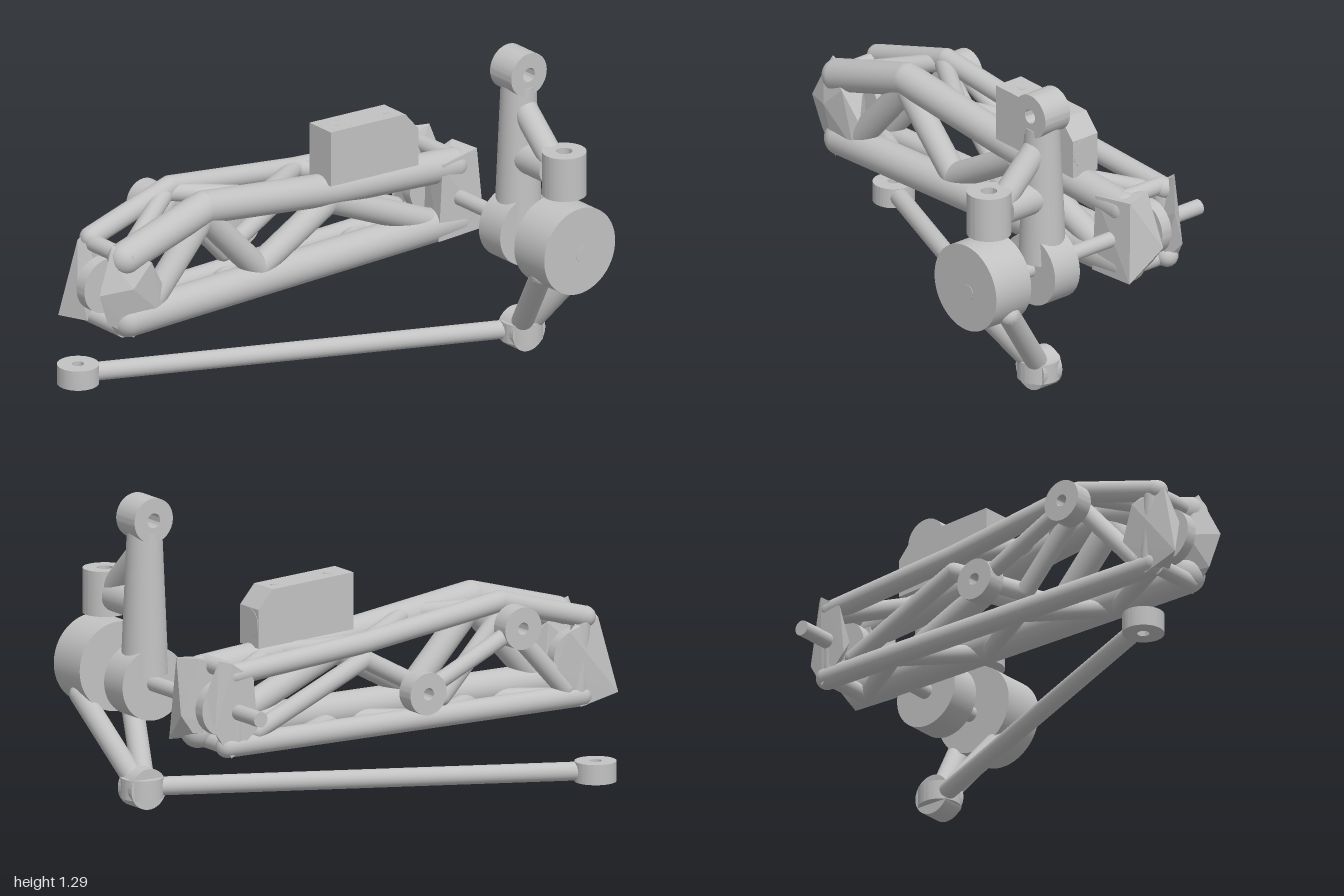
import * as THREE from 'three';
import { toCreasedNormals } from 'three/addons/utils/BufferGeometryUtils.js';
import { ConvexGeometry } from 'three/addons/geometries/ConvexGeometry.js';

const steel = new THREE.MeshStandardMaterial({ color: 0xc2c2c2 });
steel.name = 'light grey steel';

const V = (x, y, z) => new THREE.Vector3(x, y, z);
const UP = V(0, 1, 0);
const AX = 0.829; // x of the axle line

function add(parent, name, geometry) {
  const mesh = new THREE.Mesh(geometry, steel);
  mesh.name = name;
  parent.add(mesh);
  return mesh;
}

// round bar between two points, optionally tapered
function bar(parent, name, a, b, r, rEnd = r) {
  const mesh = add(parent, name, new THREE.CylinderGeometry(rEnd, r, a.distanceTo(b), 28));
  mesh.position.copy(a).lerp(b, 0.5);
  mesh.quaternion.setFromUnitVectors(UP, b.clone().sub(a).normalize());
}

// chain of bars with rounded joints
function chain(parent, name, points, r) {
  points.forEach((p, i) => {
    if (i) bar(parent, name, points[i - 1], p, r);
    add(parent, name + 'Joint', new THREE.SphereGeometry(r, 24, 14)).position.copy(p);
  });
}

// disc or ring with a bore; axis is z, or y when upright
function eye(parent, name, center, r, hole, depth, upright = false) {
  const shape = new THREE.Shape().absarc(0, 0, r, 0, Math.PI * 2);
  if (hole) shape.holes.push(new THREE.Path().absarc(0, 0, hole, 0, Math.PI * 2, true));
  const g = new THREE.ExtrudeGeometry(shape, { depth, bevelEnabled: false, curveSegments: 40 });
  g.translate(0, 0, -depth / 2);
  if (upright) g.rotateX(-Math.PI / 2);
  add(parent, name, toCreasedNormals(g, 0.6)).position.copy(center);
}

// faceted solid from corner points
function facets(parent, name, points) {
  add(parent, name, new ConvexGeometry(points.map((p) => V(...p))));
}

function truss() {
  const g = new THREE.Group();
  g.name = 'trussArm';
  const zf = -0.215, zr = -0.43;

  // front and rear chords with zigzag webs: z, lower y, chord radii, web and post radii
  for (const [side, z, lo, rc, rt, rw, rp] of [
    ['front', zf, 0.41, 0.072, 0.068, 0.054, 0.05], ['rear', zr, 0.383, 0.046, 0.044, 0.038, 0.04]]) {
    const lift = 0.068 - rt;
    chain(g, side + 'LowerChord', [V(-0.84, lo, z), V(0.86, lo, z)], rc);
    chain(g, side + 'UpperChord', [V(-0.86, 0.68 + lift, z), V(-0.45, 0.795 + lift, z),
      V(0.2, 0.705 + lift, z), V(0.84, 0.65 + lift, z)], rt);
    chain(g, side + 'Web', [V(-0.76, 0.42, z), V(-0.45, 0.76, z), V(-0.17, 0.46, z),
      V(0.2, 0.66, z), V(0.72, 0.43, z)], rw);
    chain(g, side + 'EndPost', [V(-0.84, 0.68, z), V(-0.82, lo, z)], rp);
    chain(g, side + 'AxlePost', [V(0.83, 0.64, z), V(0.83, lo, z)], rp);
  }

  // crossing laces over the top and bottom
  const xs = [-0.84, -0.47, -0.14, 0.2, 0.52, 0.83];
  const topY = (x) => (x < -0.45 ? 0.805 + (x + 0.45) * 0.27 : 0.805 - (x + 0.45) * 0.12);
  chain(g, 'topLace', xs.map((x, i) => V(x, topY(x), i % 2 ? zr : zf)), 0.038);
  chain(g, 'bottomLace', xs.map((x, i) => V(x, 0.377, i % 2 ? zf : zr)), 0.038);

  // cross ties and bearing rings at both ends
  for (const x of [-0.86, AX]) {
    bar(g, 'lowerTie', V(x, 0.372, zf), V(x, 0.372, zr), 0.035);
    bar(g, 'upperTie', V(x, 0.685, zf), V(x, 0.685, zr), 0.035);
    eye(g, 'bearing', V(x, 0.525, -0.352), 0.115, 0.03, 0.05);
  }

  // faceted end caps
  facets(g, 'farFrontCap', [
    [-1, 0.555, -0.2], [-0.93, 0.68, -0.2], [-0.91, 0.745, -0.23], [-0.87, 0.57, -0.143],
    [-0.77, 0.66, -0.15], [-0.69, 0.53, -0.175], [-0.71, 0.42, -0.16], [-0.84, 0.342, -0.18],
    [-0.95, 0.42, -0.21], [-0.76, 0.4, -0.28], [-0.78, 0.66, -0.28], [-0.9, 0.55, -0.29]]);
  facets(g, 'farRearCap', [
    [-0.99, 0.385, -0.475], [-0.91, 0.7, -0.45], [-0.88, 0.745, -0.42], [-0.76, 0.66, -0.47],
    [-0.7, 0.5, -0.46], [-0.82, 0.342, -0.46], [-0.9, 0.36, -0.4], [-0.95, 0.55, -0.4],
    [-0.8, 0.62, -0.4]]);
  facets(g, 'axleFrontCap', [
    [0.95, 0.37, -0.142], [0.93, 0.71, -0.165], [0.9, 0.72, -0.285], [0.99, 0.5, -0.29],
    [0.93, 0.42, -0.285], [0.72, 0.36, -0.15], [0.74, 0.69, -0.15], [0.75, 0.4, -0.28],
    [0.76, 0.68, -0.28]]);
  facets(g, 'axleRearCap', [
    [0.94, 0.6, -0.4], [0.9, 0.74, -0.43], [0.86, 0.73, -0.47], [0.93, 0.45, -0.45],
    [0.86, 0.34, -0.465], [0.86, 0.36, -0.4], [0.74, 0.45, -0.472], [0.76, 0.66, -0.472],
    [0.76, 0.52, -0.41]]);
  return g;
}

function mountBlock() {
  const g = new THREE.Group();
  g.name = 'mountBlock';
  const profile = [[0.155, 0.75], [0.155, 0.985], [0.543, 0.963], [0.61, 0.885], [0.61, 0.725]];
  const shape = new THREE.Shape(profile.map((p) => new THREE.Vector2(...p)));
  const body = new THREE.ExtrudeGeometry(shape, { depth: 0.135, bevelEnabled: false });
  add(g, 'block', body.translate(0, 0, -0.28));
  // screw seats on top and round seat on the end
  for (const [x, y] of [[0.235, 0.981], [0.49, 0.9665]]) {
    bar(g, 'screwSeat', V(x, y - 0.004, -0.213), V(x, y + 0.001, -0.213), 0.018);
  }
  bar(g, 'endSeat', V(0.606, 0.82, -0.213), V(0.612, 0.82, -0.213), 0.063);
  return g;
}

function rocker() {
  const g = new THREE.Group();
  g.name = 'rocker';
  bar(g, 'axle', V(AX, 0.527, -0.63), V(AX, 0.527, 0.63), 0.032);
  eye(g, 'frontDrum', V(0.815, 0.543, 0.533), 0.184, 0, 0.19);
  eye(g, 'pivotHub', V(AX, 0.525, 0.222), 0.15, 0, 0.135);
  bar(g, 'uprightArm', V(AX, 0.56, 0.222), V(AX, 1.14, 0.222), 0.097, 0.072);
  eye(g, 'topEye', V(AX, 1.198, 0.222), 0.092, 0.03, 0.135);
  eye(g, 'sideSocket', V(AX, 0.846, 0.513), 0.09, 0.033, 0.185, true);
  bar(g, 'sideStrut', V(AX, 0.838, 0.435), V(AX, 0.838, 0.24), 0.066);
  bar(g, 'diagonalStrut', V(AX, 0.865, 0.45), V(AX, 1.065, 0.235), 0.053);
  // splayed legs down to the lower joint
  for (const s of [-1, 1]) {
    chain(g, 'leg', [V(AX + s * 0.118, 0.43, 0.512), V(AX + s * 0.025, 0.125, 0.275)], 0.045);
  }
  return g;
}

function lowerRod() {
  const g = new THREE.Group();
  g.name = 'lowerRod';
  eye(g, 'jointBarrel', V(AX, 0.084, 0.24), 0.084, 0, 0.1);
  eye(g, 'nearEye', V(AX, 0.085, 0.242), 0.087, 0, 0.083, true);
  eye(g, 'farEye', V(-0.856, 0.085, -0.513), 0.085, 0.025, 0.083, true);
  bar(g, 'rod', V(AX, 0.086, 0.24), V(-0.79, 0.086, -0.483), 0.038);
  return g;
}

function rearLink() {
  const g = new THREE.Group();
  g.name = 'rearLink';
  const a = V(-0.473, 0.728, -0.527), b = V(-0.018, 0.515, -0.527);
  for (const p of [a, b]) eye(g, 'linkEye', p, 0.087, 0.025, 0.082);
  bar(g, 'linkRod', a.clone().lerp(b, 0.12), b.clone().lerp(a, 0.12), 0.034);
  return g;
}

export function createModel() {
  const model = new THREE.Group();
  model.name = 'suspensionArm';
  model.add(truss(), mountBlock(), rocker(), lowerRod(), rearLink());
  return model;
}
